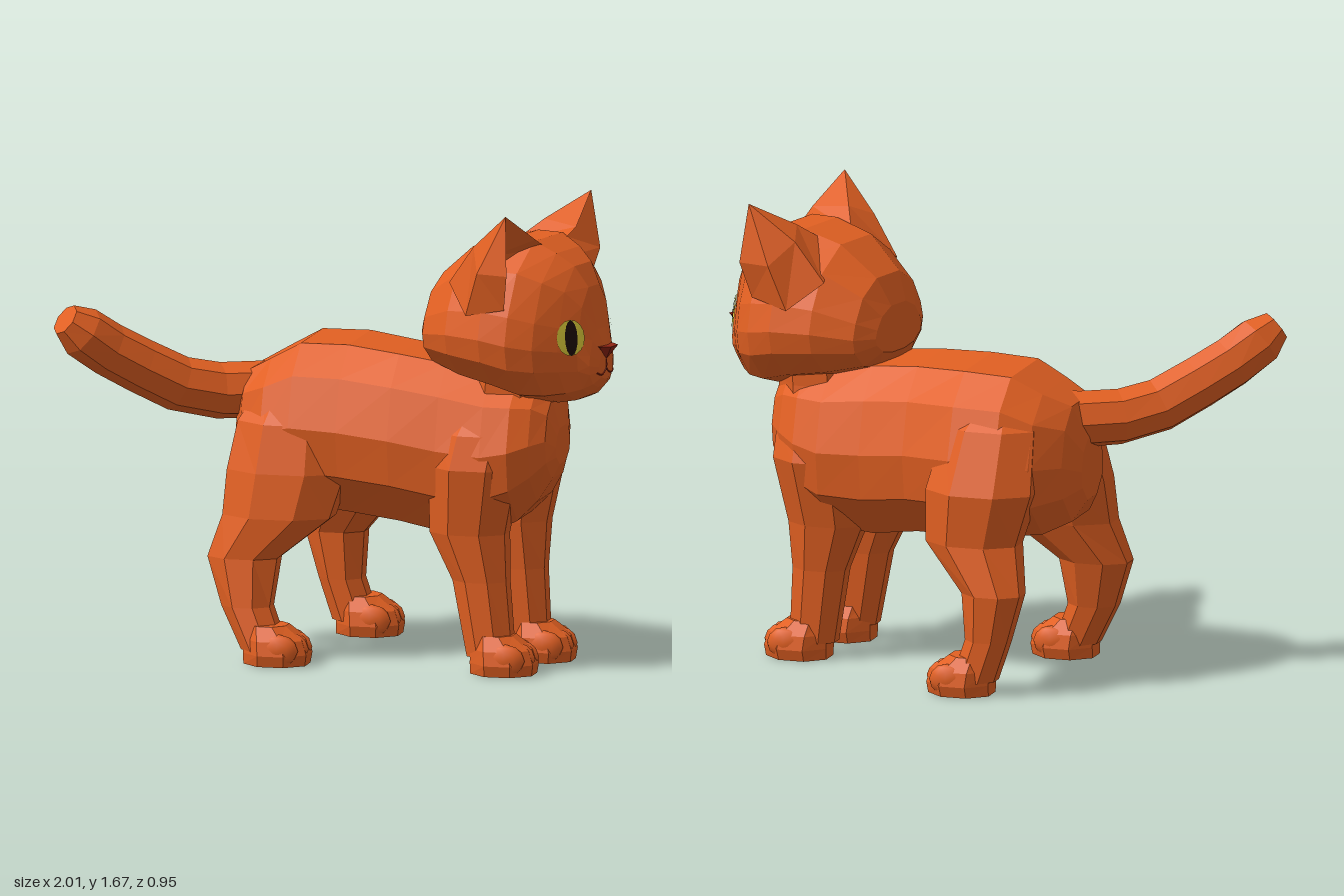
import * as THREE from 'three';

const mat = (name, color) => Object.assign(new THREE.MeshStandardMaterial({ color }), { name });
const V = (x, y, z) => new THREE.Vector3(x, y, z);

// Skin a list of point rings, cap both ends, face outwards, facet the result
function loft(rings) {
  const n = rings[0].length, pos = [], idx = [];
  rings.forEach(r => r.forEach(p => pos.push(p.x, p.y, p.z)));
  for (let i = 0; i < rings.length - 1; i++)
    for (let j = 0; j < n; j++) {
      const a = i * n + j, b = i * n + (j + 1) % n;
      idx.push(a, b, a + n, b, b + n, a + n);
    }
  [0, rings.length - 1].forEach((r, end) => {
    const c = pos.length / 3, m = rings[r].reduce((s, p) => s.add(p), V(0, 0, 0)).divideScalar(n);
    pos.push(m.x, m.y, m.z);
    for (let j = 0; j < n; j++) {
      const a = r * n + j, b = r * n + (j + 1) % n;
      end ? idx.push(c, a, b) : idx.push(c, b, a);
    }
  });
  const at = k => V(...pos.slice(3 * k, 3 * k + 3));
  let volume = 0;
  for (let i = 0; i < idx.length; i += 3) volume += at(idx[i]).dot(at(idx[i + 1]).cross(at(idx[i + 2])));
  if (volume < 0) idx.reverse();
  const g = new THREE.BufferGeometry();
  g.setAttribute('position', new THREE.Float32BufferAttribute(pos, 3));
  g.setIndex(idx);
  const flat = g.toNonIndexed();
  flat.computeVertexNormals();
  return flat;
}

// Upright cross-section: half outline [z, y] mirrored, scaled between bottom and top
function section(half, [x, zc, hw, y0, y1]) {
  const full = [...half, ...half.map(([z, y]) => [-z, y]).reverse()];
  return full.map(([z, y]) => V(x, (y0 + y1) / 2 + y * (y1 - y0) / 2, zc + z * hw));
}

// Level eight-sided rings for a limb: [y, x, z, rx, rz]
const limb = rows => loft(rows.map(([y, x, z, rx, rz]) =>
  Array.from({ length: 8 }, (_, i) => {
    const a = (i + 0.5) * Math.PI / 4;
    return V(x + Math.cos(a) * rx * 1.06, y, z + Math.sin(a) * rz * 1.06);
  })));

export function createModel() {
  const cat = new THREE.Group();
  cat.name = 'cat';
  const fur = mat('orange fur', 0xe26022), iris = mat('yellow iris', 0xdccb3a);
  const black = mat('black pupil', 0x1c0a08), red = mat('dark red nose', 0x8f2413);
  const add = (parent, name, geo, material) => {
    const m = new THREE.Mesh(geo, material);
    m.name = name;
    parent.add(m);
    return m;
  };

  // Torso from rump to chest
  const torso = [[0.45, 1], [0.82, 0.66], [1, 0.05], [0.92, -0.5], [0.45, -1]];
  add(cat, 'torso', loft([
    [-0.42, -0.02, 0.12, 0.66, 0.88], [-0.38, -0.03, 0.22, 0.59, 1.01], [-0.29, -0.05, 0.31, 0.55, 1.06],
    [-0.18, -0.06, 0.345, 0.54, 1.12], [0, -0.04, 0.35, 0.525, 1.125], [0.2, 0.025, 0.325, 0.51, 1.11],
    [0.38, 0.06, 0.31, 0.48, 1.09], [0.55, 0.09, 0.31, 0.49, 1.06], [0.65, 0.11, 0.29, 0.54, 1.05],
    [0.72, 0.12, 0.24, 0.61, 1.03], [0.77, 0.13, 0.18, 0.69, 0.98], [0.79, 0.13, 0.1, 0.74, 0.87],
  ].map(r => section(torso, r))), fur);
  add(cat, 'neck', limb([[0.85, 0.6, 0.1, 0.16, 0.22], [1, 0.61, 0.1, 0.16, 0.2], [1.12, 0.62, 0.1, 0.16, 0.2]]), fur);

  // Legs
  add(cat, 'leftFrontLeg', limb([[0.98, 0.55, 0.22, 0.1, 0.08], [0.86, 0.53, 0.265, 0.16, 0.115],
    [0.74, 0.51, 0.285, 0.165, 0.125], [0.5, 0.485, 0.27, 0.14, 0.1], [0.33, 0.53, 0.28, 0.1, 0.08],
    [0.06, 0.57, 0.295, 0.085, 0.07]]), fur);
  add(cat, 'rightFrontLeg', limb([[0.98, 0.58, 0.0, 0.1, 0.08], [0.86, 0.58, -0.04, 0.16, 0.115],
    [0.74, 0.58, -0.07, 0.165, 0.125], [0.5, 0.56, -0.04, 0.14, 0.1], [0.33, 0.59, -0.03, 0.1, 0.08],
    [0.06, 0.62, -0.02, 0.085, 0.07]]), fur);
  add(cat, 'leftHindLeg', limb([[1, -0.18, 0.07, 0.12, 0.1], [0.85, -0.19, 0.14, 0.2, 0.14],
    [0.68, -0.2, 0.18, 0.22, 0.14], [0.52, -0.23, 0.21, 0.2, 0.125], [0.37, -0.35, 0.235, 0.13, 0.09],
    [0.2, -0.33, 0.27, 0.09, 0.08], [0.05, -0.26, 0.3, 0.08, 0.08]]), fur);
  add(cat, 'rightHindLeg', limb([[1.04, -0.14, -0.2, 0.1, 0.08], [0.95, -0.13, -0.26, 0.17, 0.12],
    [0.73, -0.11, -0.32, 0.2, 0.14], [0.54, -0.08, -0.325, 0.17, 0.115], [0.37, -0.17, -0.38, 0.11, 0.09],
    [0.2, -0.15, -0.375, 0.08, 0.08], [0.05, -0.1, -0.375, 0.08, 0.08]]), fur);

  // Rounded paws with four low toes each
  [['leftFrontPaw', 0.5, 0.295], ['rightFrontPaw', 0.56, -0.02],
    ['leftHindPaw', -0.33, 0.3], ['rightHindPaw', -0.165, -0.375]].forEach(([name, x, z]) => {
    const paw = new THREE.Group();
    paw.name = name;
    paw.position.set(x, 0, z);
    add(paw, 'pawPad', limb([[0, 0.115, 0, 0.115, 0.1], [0.04, 0.118, 0, 0.118, 0.112],
      [0.09, 0.11, 0, 0.11, 0.102], [0.14, 0.085, 0, 0.07, 0.07]]), fur);
    for (let i = 0; i < 4; i++) {
      const toe = add(paw, 'toe', new THREE.IcosahedronGeometry(1, 1), fur);
      toe.scale.set(0.07, 0.058, 0.032);
      toe.position.set(i % 3 ? 0.168 : 0.142, 0.059, (i - 1.5) * 0.052);
    }
    cat.add(paw);
  });

  // Tail swept along a curve, rounded at the tip
  const path = new THREE.CatmullRomCurve3([V(-0.22, 0.94, -0.04), V(-0.4, 0.93, 0.03), V(-0.57, 0.95, 0.14),
    V(-0.73, 1.04, 0.245), V(-0.86, 1.13, 0.335), V(-0.96, 1.225, 0.42)]);
  add(cat, 'tail', loft([0, 0.15, 0.3, 0.45, 0.6, 0.75, 0.9, 1].map(t => {
    const p = path.getPoint(t), d = path.getTangent(t);
    const side = V(0, 1, 0).cross(d).normalize(), up = d.clone().cross(side);
    const r = t === 1 ? 0.06 : 0.105 - 0.012 * t;
    return Array.from({ length: 8 }, (_, j) => {
      const a = j * Math.PI / 4;
      return p.clone().addScaledVector(side, Math.cos(a) * r).addScaledVector(up, Math.sin(a) * r);
    });
  })), fur);

  // Head, turned slightly to one side
  const head = new THREE.Group();
  head.name = 'head';
  head.position.set(0.62, 0, 0.1);
  head.rotation.y = -0.25;
  cat.add(head);
  const skull = [[0.32, 1], [0.72, 0.66], [0.93, 0.15], [1, -0.2], [0.95, -0.5], [0.68, -0.85], [0.25, -1]];
  const face = add(head, 'skull', loft([
    [-0.31, 0, 0.15, 1.13, 1.3], [-0.265, 0, 0.23, 1.07, 1.4], [-0.13, 0, 0.31, 1.03, 1.51],
    [0.02, 0, 0.34, 1, 1.55], [0.12, 0, 0.325, 0.97, 1.55], [0.2, 0, 0.27, 0.97, 1.51],
    [0.26, 0, 0.19, 0.98, 1.465], [0.305, 0, 0.125, 1, 1.39], [0.335, 0, 0.09, 1.03, 1.24],
    [0.355, 0, 0.05, 1.06, 1.18],
  ].map(r => section(skull, r))), fur);

  // Cupped ears, each fanned from a base loop to the tip
  for (const s of [1, -1]) {
    const base = [[0.14, 1.52, 0.05], [-0.06, 1.51, 0.08], [-0.15, 1.4, 0.24], [-0.04, 1.3, 0.32],
      [0.11, 1.33, 0.31], [0.02, 1.42, 0.22]].map(([x, y, z]) => V(x, y, z * s));
    const middle = [[0.15, 1.565, 0.15], [0.01, 1.58, 0.17], [-0.04, 1.54, 0.26], [0.02, 1.46, 0.345],
      [0.14, 1.46, 0.345], [0.03, 1.51, 0.255]].map(([x, y, z]) => V(x, y, z * s));
    const tip = base.map(() => V(0.12, 1.67, 0.315 * s));
    add(head, s > 0 ? 'leftEar' : 'rightEar', loft([base, middle, tip]), fur);
  }

  // Drop a point onto the face along a direction, just above the surface
  const ray = new THREE.Raycaster();
  const skin = new THREE.Mesh(face.geometry, fur);
  const drop = (p, dir, lift) => {
    ray.set(p.clone().addScaledVector(dir, 0.6), dir.clone().negate());
    return ray.intersectObject(skin)[0].point.addScaledVector(dir, lift);
  };
  const patch = (name, centre, yaw, w, h, lift, material) => {
    const g = new THREE.RingGeometry(0.001, 1, 16, 4), pos = g.attributes.position;
    const dir = V(Math.cos(yaw), 0, Math.sin(yaw)), right = V(Math.sin(yaw), 0, -Math.cos(yaw));
    for (let i = 0; i < pos.count; i++) {
      const p = centre.clone().addScaledVector(right, pos.getX(i) * w);
      p.y += pos.getY(i) * h;
      const q = drop(p, dir, lift);
      pos.setXYZ(i, q.x, q.y, q.z);
    }
    g.computeVertexNormals();
    add(head, name, g, material);
  };

  // Eyes with slit pupils
  for (const s of [1, -1]) {
    const c = V(0.28, 1.222, 0.138 * s), side = s > 0 ? 'left' : 'right';
    patch(side + 'Iris', c, 0.6 * s, 0.056, 0.064, 0.005, iris);
    patch(side + 'Pupil', c, 0.6 * s, 0.025, 0.063, 0.009, black);
  }

  // Nose and mouth
  const nose = add(head, 'nose', new THREE.ConeGeometry(0.052, 0.05, 6).toNonIndexed(), red);
  nose.geometry.computeVertexNormals();
  nose.rotation.x = Math.PI;
  nose.scale.x = 0.75;
  nose.position.set(0.355, 1.155, 0);
  const front = V(1, 0, 0);
  for (const s of [1, -1]) {
    const line = [[1.13, 0], [1.1, 0], [1.082, 0.02], [1.078, 0.04], [1.088, 0.06]]
      .map(([y, z]) => drop(V(0.2, y, z * s), front, 0));
    add(head, 'mouth', new THREE.TubeGeometry(new THREE.CatmullRomCurve3(line), 10, 0.003, 4), red);
  }
  return cat;
}
